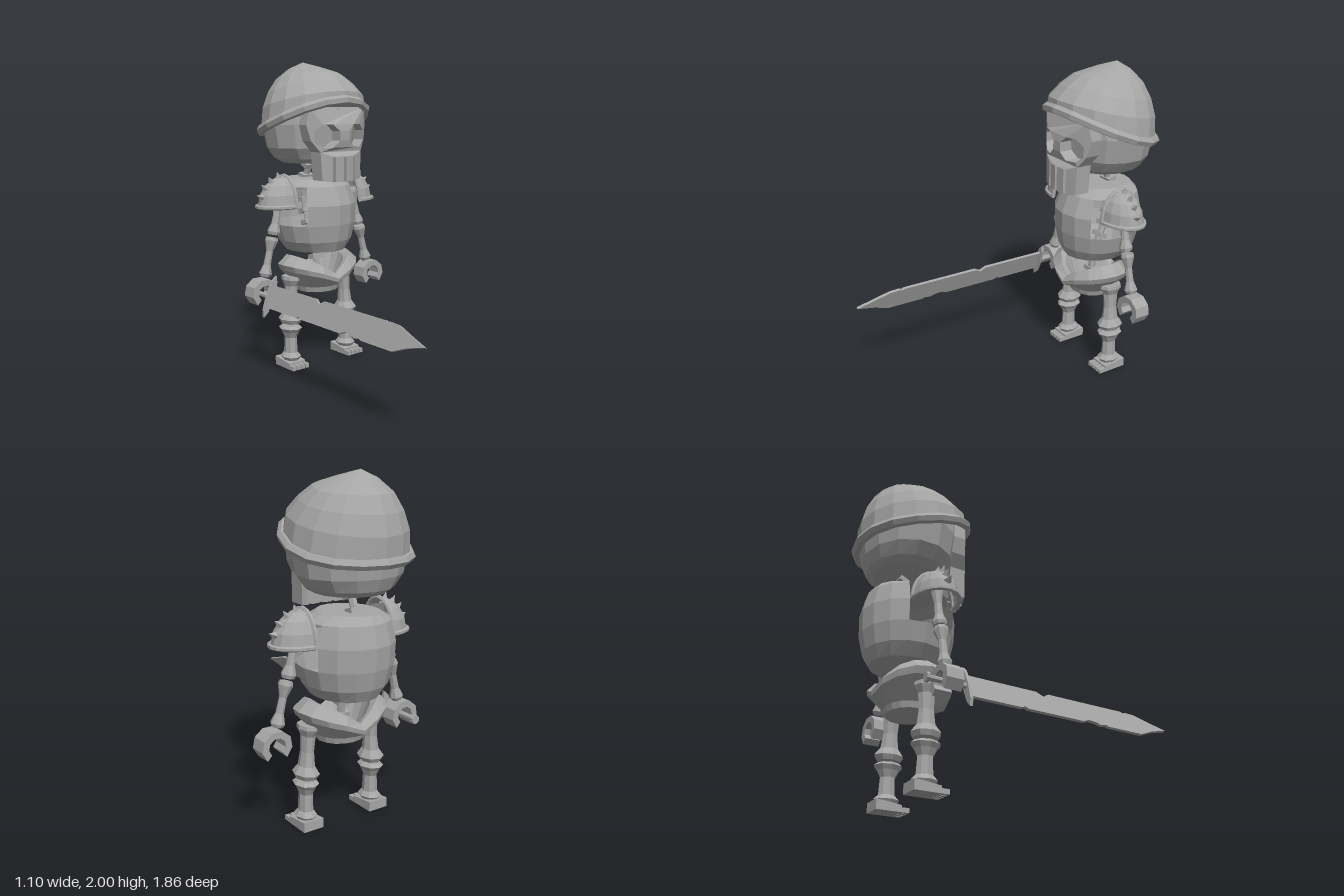
import * as THREE from 'three';

const V = (x, y, z) => new THREE.Vector3(x, y, z);
const TAU = Math.PI * 2;
const BODY_Z = -0.54;

export function createModel() {
  const root = new THREE.Group();
  root.name = 'skeletonWarrior';
  const grey = new THREE.MeshStandardMaterial({ color: 0xa6a6a6, flatShading: true, side: THREE.DoubleSide });
  grey.name = 'plain grey';

  const add = (parent, name, geo) => {
    const g = geo.index ? geo.toNonIndexed() : geo;
    g.computeVertexNormals();
    const mesh = new THREE.Mesh(g, grey);
    mesh.name = name;
    parent.add(mesh);
    return mesh;
  };

  // Skin over closed rings, listed bottom to top; ringAt(row, angle) gives each point
  const loft = (rows, n, ringAt, { skip = () => false, bottom = true, top = true } = {}) => {
    const pos = [], idx = [];
    rows.forEach((row) => {
      for (let j = 0; j < n; j++) pos.push(...ringAt(row, (j / n) * TAU).toArray());
    });
    for (let i = 0; i < rows.length - 1; i++) {
      for (let j = 0; j < n; j++) {
        if (skip(i, j)) continue;
        const k = (j + 1) % n, a = i * n + j, b = i * n + k;
        idx.push(a, b, b + n, a, b + n, a + n);
      }
    }
    const last = (rows.length - 1) * n;
    for (let j = 1; j < n - 1; j++) {
      if (bottom) idx.push(0, j + 1, j);
      if (top) idx.push(last, last + j, last + j + 1);
    }
    const g = new THREE.BufferGeometry();
    g.setAttribute('position', new THREE.Float32BufferAttribute(pos, 3));
    g.setIndex(idx);
    return g;
  };

  // Turned bone from p up to q, profile as [radius, fraction of length]
  const bone = (parent, name, p, q, profile, depth = 1) => {
    const dir = q.clone().sub(p), len = dir.length();
    const pts = profile.map(([r, t]) => new THREE.Vector2(r, t * len));
    const m = add(parent, name, new THREE.LatheGeometry(pts, 8));
    m.position.copy(p);
    m.quaternion.setFromUnitVectors(V(0, 1, 0), dir.normalize());
    m.scale.z = depth;
    return m;
  };
  const tube = (pts, r, n, closed = false, sides = 6) =>
    new THREE.TubeGeometry(new THREE.CatmullRomCurve3(pts, closed), n, r, sides, closed);
  const polygon = (pts) => new THREE.Shape(pts.map(([x, y]) => new THREE.Vector2(x, y)));

  // Helmet dome: rows are [rx, rz, centre z, y, tilt, bulge]
  const ringPoint = ([rx, rz, zc, y, tilt = 0, bulge = 0], a) => {
    const u = Math.cos(a);
    return V(rx * Math.sin(a), y + tilt * u + bulge * u * u, zc + rz * u);
  };
  const rim = [0.355, 0.33, -0.57, 1.6, 0.11, 0.045];
  add(root, 'helmetDome', loft([
    rim,
    [0.335, 0.33, -0.575, 1.73, 0.07, 0.01],
    [0.285, 0.28, -0.6, 1.82, 0.05, 0.01],
    [0.22, 0.215, -0.62, 1.895, 0.03, 0.01],
    [0.11, 0.11, -0.655, 1.96, 0.01],
    [0.001, 0.001, -0.68, 2.0],
  ], 16, ringPoint, { bottom: false, top: false }));
  add(root, 'helmetRim', tube(
    Array.from({ length: 16 }, (_, i) => ringPoint(rim, (i / 16) * TAU)), 0.03, 16, true));

  // Skull
  add(root, 'skull', loft([
    [0.2, 0.2, -0.6, 1.35],
    [0.255, 0.235, -0.6, 1.38],
    [0.31, 0.267, -0.598, 1.45],
    [0.34, 0.285, -0.6, 1.6],
    [0.32, 0.28, -0.59, 1.7],
  ], 14, ringPoint));

  // Face with eye sockets and gaps between the teeth
  const outline = [[0.22, 1.71], [0, 1.74], [-0.22, 1.71], [-0.24, 1.6], [-0.215, 1.5], [-0.165, 1.43], [-0.155, 1.25]];
  [-0.08, 0, 0.08].forEach((x) =>
    outline.push([x - 0.01, 1.24], [x - 0.01, 1.4], [x + 0.01, 1.4], [x + 0.01, 1.24]));
  outline.push([0.155, 1.25], [0.165, 1.43], [0.215, 1.5], [0.24, 1.6]);
  const faceShape = polygon(outline);
  [-1, 1].forEach((s) => {
    const eye = Array.from({ length: 8 }, (_, i) => {
      const a = ((i + 0.5) / 8) * TAU;
      return new THREE.Vector2(s * 0.118 + 0.088 * Math.cos(a), 1.53 + 0.078 * Math.sin(a));
    });
    faceShape.holes.push(new THREE.Path(eye));
  });
  const face = new THREE.ExtrudeGeometry(faceShape, { depth: 0.1, bevelEnabled: false });
  const fp = face.attributes.position;
  for (let i = 0; i < fp.count; i++) fp.setZ(i, fp.getZ(i) - 0.345 - 1.5 * fp.getX(i) ** 2);
  add(root, 'face', face);
  add(root, 'jaw', new THREE.BoxGeometry(0.29, 0.19, 0.08)).position.set(0, 1.345, -0.325);

  // Spine with vertebrae
  const spinePts = [V(0, 1.4, -0.59), V(0, 1.25, -0.655), V(0, 1.1, -0.68), V(0, 0.95, -0.64),
    V(0, 0.77, -0.57), V(0, 0.55, -0.54)];
  const spine = new THREE.CatmullRomCurve3(spinePts);
  add(root, 'spine', tube(spinePts, 0.024, 20));
  for (let i = 0; i <= 11; i++) {
    const t = i / 11, v = add(root, 'vertebra', new THREE.BoxGeometry(0.09, 0.03, 0.06));
    v.position.copy(spine.getPointAt(t));
    v.quaternion.setFromUnitVectors(V(0, -1, 0), spine.getTangentAt(t));
  }

  // Ribcage, open where the arms meet it
  add(root, 'ribcage', loft([
    [0.19, 0.215, -0.57, 0.77],
    [0.245, 0.25, -0.572, 0.84],
    [0.278, 0.272, -0.574, 0.95],
    [0.283, 0.278, -0.575, 1.08],
    [0.25, 0.24, -0.585, 1.2],
    [0.17, 0.19, -0.6, 1.245],
  ], 16, ringPoint, { skip: (i, j) => (i === 2 || i === 3) && j % 9 >= 2 && j % 9 <= 4 }));

  // Pelvis: flared bowl, high at the hips and dipped at front and back
  add(root, 'pelvis', loft([
    [0.145, 0.13, 0.495, 0],
    [0.155, 0.14, 0.53, 0],
    [0.27, 0.225, 0.57, 0.08],
    [0.287, 0.23, 0.595, 0.095],
    [0.22, 0.19, 0.625, 0.125],
    [0.18, 0.16, 0.61, 0.11],
    [0.12, 0.1, 0.55, 0],
  ], 16, ([rx, rz, y, wave], a) =>
    V(rx * Math.sin(a), y + wave * Math.abs(Math.sin(a)) ** 0.8, BODY_Z + rz * Math.cos(a))));

  // Paired limbs
  const armProfile = [[0, 0], [0.036, 0], [0.043, 0.08], [0.026, 0.28], [0.022, 0.6], [0.035, 0.92], [0.032, 1], [0, 1]];
  const foreProfile = [[0, 0], [0.032, 0], [0.042, 0.08], [0.024, 0.3], [0.022, 0.65], [0.043, 0.92], [0.038, 1], [0, 1]];
  const thighProfile = [[0, 0], [0.06, 0], [0.074, 0.09], [0.046, 0.23], [0.037, 0.5], [0.042, 0.8], [0.062, 0.93], [0.06, 1], [0, 1]];
  const shinProfile = [[0, 0], [0.05, 0], [0.064, 0.1], [0.042, 0.22], [0.038, 0.65], [0.055, 0.82], [0.072, 0.93], [0.055, 1], [0, 1]];

  [-1, 1].forEach((s) => {
    const side = s > 0 ? 'left' : 'right';
    const limb = (name) => {
      const g = new THREE.Group();
      g.name = side + name;
      root.add(g);
      return g;
    };

    const leg = limb('Leg');
    bone(leg, 'thigh', V(s * 0.235, 0.295, BODY_Z), V(s * 0.22, 0.61, BODY_Z), thighProfile, 1.2);
    bone(leg, 'shin', V(s * 0.235, 0.045, BODY_Z), V(s * 0.235, 0.28, BODY_Z), shinProfile, 1.2);
    const wedge = polygon([[-0.625, 0], [-0.47, 0], [-0.47, 0.04], [-0.55, 0.05], [-0.625, 0.058]]);
    const foot = add(leg, 'foot', new THREE.ExtrudeGeometry(wedge, { depth: 0.13, bevelEnabled: false }));
    foot.rotation.y = -Math.PI / 2;
    foot.position.x = s * 0.235 + 0.065;
    for (let i = 0; i < 4; i++) {
      add(leg, 'toe', new THREE.BoxGeometry(0.026, 0.028, 0.06))
        .position.set(s * 0.235 + (i - 1.5) * 0.0345, 0.014, -0.455);
    }

    const arm = limb('Arm');
    bone(arm, 'upperArm', V(s * 0.357, 0.9, BODY_Z), V(s * 0.3, 1.15, BODY_Z), armProfile);
    bone(arm, 'forearm', V(s * 0.428, 0.635, BODY_Z), V(s * 0.367, 0.885, BODY_Z), foreProfile);

    // Gripping hand, open at the bottom
    const hook = [];
    for (let i = 0; i <= 7; i++) {
      const a = -0.28 * Math.PI + (i / 7) * 1.56 * Math.PI;
      hook.push([0.097 * Math.cos(a), 0.09 * Math.sin(a)]);
    }
    const inner = hook.map(([x, y]) => [x * 0.56, y * 0.56]).reverse();
    const hand = add(arm, 'hand', new THREE.ExtrudeGeometry(polygon([...hook, ...inner]), { depth: 0.1, bevelEnabled: false }));
    hand.position.set(s * 0.455, 0.54, BODY_Z - 0.05);

    // Shoulder guard: quarter dome, raised edges and a row of spikes
    const guard = limb('ShoulderGuard');
    const dome = add(guard, 'guardShell', new THREE.SphereGeometry(1, 8, 4, Math.PI / 2, Math.PI, 0, Math.PI / 2));
    dome.scale.set(0.185, 0.19, 0.13);
    dome.position.set(0.265, 1.085, BODY_Z);
    const arc = (f) => Array.from({ length: 9 }, (_, i) => f(-Math.PI / 2 + (i / 8) * Math.PI));
    add(guard, 'guardLowerRim', tube(arc((a) =>
      V(0.265 + 0.193 * Math.cos(a), 1.085, BODY_Z + 0.13 * Math.sin(a))), 0.014, 12));
    add(guard, 'guardInnerRim', tube(arc((a) =>
      V(0.265, 1.085 + 0.19 * Math.cos(a), BODY_Z + 0.13 * Math.sin(a))), 0.014, 12));
    [0.35, 0.68, 1.0, 1.33].forEach((a) => {
      const n = V(Math.cos(a), Math.sin(a), 0);
      const spike = add(guard, 'spike', new THREE.ConeGeometry(0.036, 0.07, 4));
      spike.position.set(0.265 + 0.19 * n.x, 1.085 + 0.19 * n.y, BODY_Z);
      spike.quaternion.setFromUnitVectors(V(0, 1, 0), n);
    });
    if (s < 0) guard.scale.x = -1;
  });

  // Sword in the right hand, leaning with the grip
  const sword = new THREE.Group();
  sword.name = 'sword';
  sword.position.set(-0.468, 0.532, 0);
  sword.rotation.z = -0.38;
  root.add(sword);
  const bladeShape = polygon([[-0.42, -0.072], [-0.11, -0.072], [-0.09, -0.06], [-0.07, -0.072],
    [0.3, -0.072], [0.34, -0.054], [0.39, -0.06], [0.42, -0.072], [0.46, -0.064], [0.48, -0.072],
    [0.72, -0.072], [0.82, -0.03], [0.935, 0], [0.82, 0.036], [0.72, 0.07], [0.65, 0.074], [0.635, 0.064],
    [0.62, 0.074], [0.1, 0.074], [0.06, 0.048], [0.02, 0.074], [-0.42, 0.074]]);
  const blade = add(sword, 'blade', new THREE.ExtrudeGeometry(bladeShape, { depth: 0.018, bevelEnabled: false }));
  blade.rotation.y = -Math.PI / 2;
  blade.position.x = 0.009;
  const crossguard = add(sword, 'crossguard', new THREE.CylinderGeometry(0.135, 0.135, 0.018, 8));
  crossguard.rotation.x = Math.PI / 2;
  crossguard.scale.x = 0.2;
  crossguard.position.z = -0.43;
  const grip = add(sword, 'grip', new THREE.CylinderGeometry(0.016, 0.016, 0.24, 8));
  grip.rotation.x = Math.PI / 2;
  grip.position.z = -0.545;
  const pommel = add(sword, 'pommel', new THREE.CylinderGeometry(0.028, 0.028, 0.018, 8));
  pommel.rotation.x = Math.PI / 2;
  pommel.position.z = -0.662;

  return root;
}
